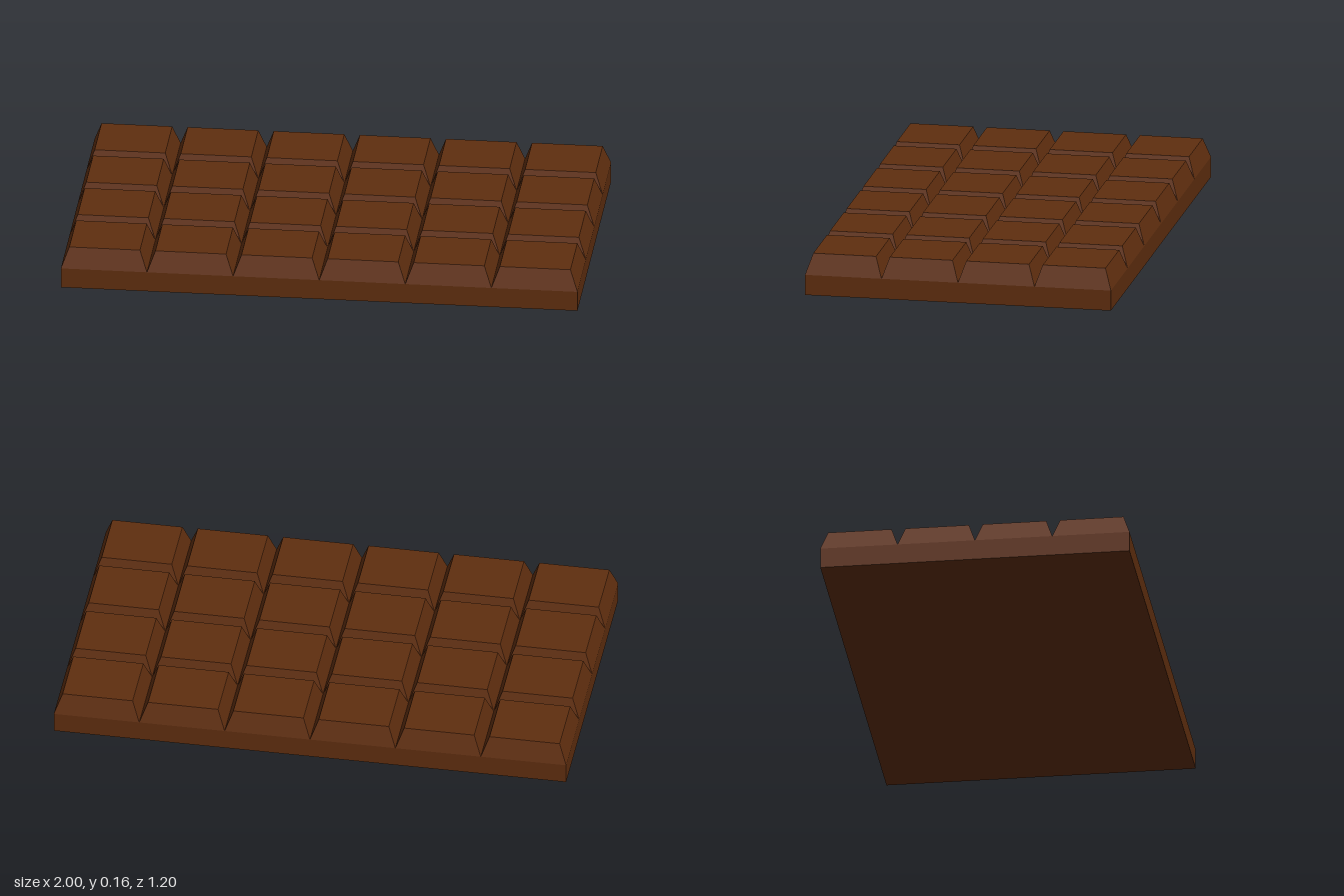
import * as THREE from 'three';

const COLS = 6, ROWS = 4;
const LENGTH = 2, WIDTH = 1.2;
const BASE_H = 0.08, BLOCK_H = 0.08;
const CELL_X = LENGTH / COLS, CELL_Z = WIDTH / ROWS;
const INSET_X = 0.03, INSET_Z = 0.027;

// Box whose top face is drawn in to give bevelled sides
function blockGeometry() {
  const geo = new THREE.BoxGeometry(CELL_X, BLOCK_H, CELL_Z);
  const pos = geo.attributes.position;
  for (let i = 0; i < pos.count; i++) {
    if (pos.getY(i) > 0) {
      pos.setX(i, pos.getX(i) - Math.sign(pos.getX(i)) * INSET_X);
      pos.setZ(i, pos.getZ(i) - Math.sign(pos.getZ(i)) * INSET_Z);
    }
  }
  geo.computeVertexNormals();
  return geo;
}

export function createModel() {
  const model = new THREE.Group();
  model.name = 'chocolateBar';
  const chocolate = new THREE.MeshStandardMaterial({ color: 0x5f2e0f, flatShading: true });
  chocolate.name = 'chocolate';

  // Solid slab under the pieces
  const slab = new THREE.Mesh(new THREE.BoxGeometry(LENGTH, BASE_H, WIDTH), chocolate);
  slab.name = 'slab';
  slab.position.y = BASE_H / 2;
  model.add(slab);

  // Grid of bevelled pieces, meeting in V grooves
  const pieces = new THREE.Group();
  pieces.name = 'pieces';
  const geo = blockGeometry();
  for (let r = 0; r < ROWS; r++) {
    for (let c = 0; c < COLS; c++) {
      const piece = new THREE.Mesh(geo, chocolate);
      piece.name = `piece_${r + 1}_${c + 1}`;
      piece.position.set(
        (c - (COLS - 1) / 2) * CELL_X,
        BASE_H + BLOCK_H / 2,
        (r - (ROWS - 1) / 2) * CELL_Z
      );
      pieces.add(piece);
    }
  }
  model.add(pieces);
  return model;
}
